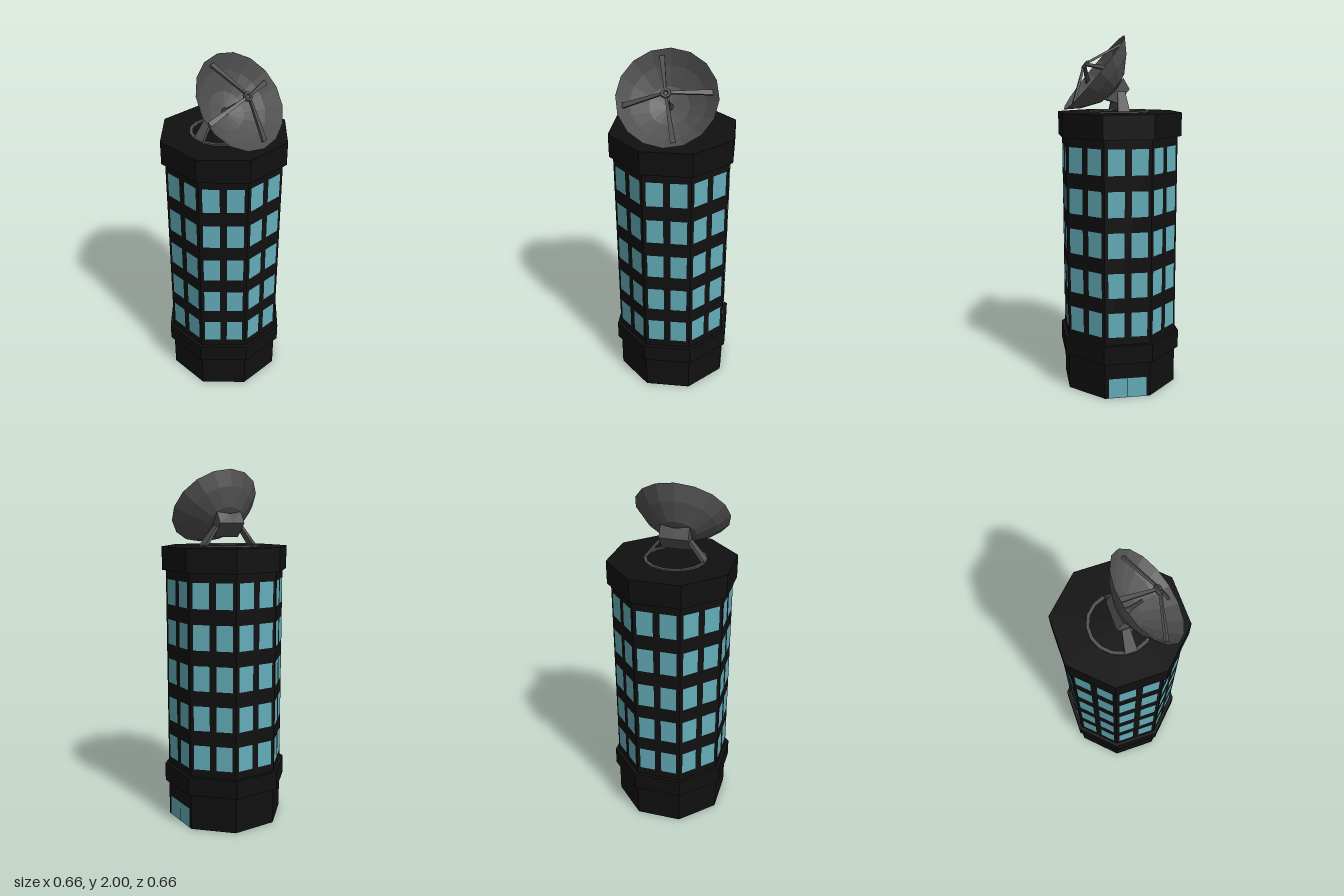
import * as THREE from 'three';

const SIDES = 8;
const DISH_R = 0.264, DISH_DEPTH = 0.157;

const material = (color, side = THREE.FrontSide) =>
  new THREE.MeshStandardMaterial({ color, side, flatShading: true });
const wallMat = material(0x101010);
const glassMat = material(0x63adb9);
const metalMat = material(0x515151);
const dishMat = material(0x515151, THREE.DoubleSide);

function add(parent, name, geometry, mat, x = 0, y = 0, z = 0) {
  const mesh = new THREE.Mesh(geometry, mat);
  mesh.name = name;
  mesh.position.set(x, y, z);
  parent.add(mesh);
  return mesh;
}

// Octagonal storey with flat faces towards the axes
function storey(parent, name, apothem, y0, y1) {
  const r = apothem / Math.cos(Math.PI / SIDES);
  const geo = new THREE.CylinderGeometry(r, r, y1 - y0, SIDES, 1, false, Math.PI / SIDES);
  add(parent, name, geo, wallMat, 0, (y0 + y1) / 2, 0);
}

// Tapered bar from a to b; 'across' is the direction of its width
function bar(parent, name, a, b, across, widthA, widthB, thickness) {
  const dir = b.clone().sub(a);
  const length = dir.length();
  dir.normalize();
  const geo = new THREE.BoxGeometry(1, length, thickness);
  const p = geo.attributes.position;
  for (let i = 0; i < p.count; i++) p.setX(i, p.getX(i) * (p.getY(i) < 0 ? widthA : widthB));
  const normal = across.clone().cross(dir).normalize();
  const mesh = add(parent, name, geo, metalMat);
  mesh.quaternion.setFromRotationMatrix(
    new THREE.Matrix4().makeBasis(dir.clone().cross(normal), dir, normal));
  mesh.position.copy(a).add(b).multiplyScalar(0.5);
}

// Dish surface height below the rim plane
const bowl = r => DISH_DEPTH * ((r / DISH_R) ** 2 - 1);

function createTower() {
  const tower = new THREE.Group();
  tower.name = 'tower';
  storey(tower, 'base', 0.31, 0, 0.21);
  storey(tower, 'lowerBand', 0.33, 0.21, 0.315);
  storey(tower, 'shaft', 0.31, 0.315, 1.45);
  storey(tower, 'roofBand', 0.33, 1.45, 1.58);

  // Two windows per face on five floors
  const pane = new THREE.PlaneGeometry(0.09, 0.14);
  for (let k = 0; k < SIDES; k++) {
    const face = new THREE.Group();
    face.name = 'windowFace';
    face.rotation.y = k * Math.PI / 4;
    for (let floor = 0; floor < 5; floor++)
      for (const s of [-1, 1])
        add(face, 'window', pane, glassMat, s * 0.064, 0.43 + floor * 0.225, 0.311);
    tower.add(face);
  }

  // Double door
  for (const s of [-1, 1])
    add(tower, 'door', new THREE.PlaneGeometry(0.106, 0.115), glassMat, 0.311, 0.058, s * 0.054)
      .rotation.y = Math.PI / 2;
  return tower;
}

function createMount() {
  const mount = new THREE.Group();
  mount.name = 'mount';
  mount.position.set(-0.017, 1.58, -0.004);

  // Flat turning ring on the roof
  const k = Math.cos(Math.PI / 16), inner = 0.151 / k, outer = 0.169 / k;
  const profile = [[inner, 0], [outer, 0], [outer, 0.008], [inner, 0.008], [inner, 0]]
    .map(([x, y]) => new THREE.Vector2(x, y));
  add(mount, 'ring', new THREE.LatheGeometry(profile, 16, Math.PI / 16), dishMat);

  // Legs leaning in to the hub
  for (const s of [-1, 1])
    bar(mount, 'leg', new THREE.Vector3(s * 0.162, 0.003, 0), new THREE.Vector3(s * 0.078, 0.108, 0),
      new THREE.Vector3(0, 0, 1), 0.066, 0.042, 0.016);
  return mount;
}

// Built around the rim centre with the dish axis along local y
function createAntenna() {
  const antenna = new THREE.Group();
  antenna.name = 'antenna';
  antenna.position.set(-0.017, 1.796, 0.137);
  antenna.rotation.x = 0.874;

  const profile = [0, 0.107, 0.2, DISH_R].map(r => new THREE.Vector2(r, bowl(r)));
  add(antenna, 'dish', new THREE.LatheGeometry(profile, 16), dishMat);

  // Hub: narrows to the back, its front follows the bowl
  const hub = new THREE.BoxGeometry(0.16, 0.06, 0.15, 2, 1, 2);
  const p = hub.attributes.position;
  for (let i = 0; i < p.count; i++) {
    const x = p.getX(i), z = p.getZ(i);
    if (p.getY(i) > 0) p.setY(i, bowl(Math.hypot(x, z)) - 0.005);
    else p.setXYZ(i, x, -0.202, z * 0.68);
  }
  add(antenna, 'hub', hub, metalMat);

  // Feed horn
  const horn = [[0.021, -0.158], [0.019, -0.135], [0.012, -0.115], [0.009, -0.04], [0, -0.036]]
    .map(([x, y]) => new THREE.Vector2(x, y));
  add(antenna, 'feedHorn', new THREE.LatheGeometry(horn, 8), dishMat);

  // Receiver ring held by four struts
  const receiver = [[0.013, 0.054], [0.024, 0.05], [0.029, 0.06], [0.025, 0.071], [0.014, 0.071], [0.01, 0.062], [0, 0.062]]
    .map(([x, y]) => new THREE.Vector2(x, y));
  add(antenna, 'receiver', new THREE.LatheGeometry(receiver, 8), dishMat);
  for (let i = 0; i < 4; i++) {
    const t = i * Math.PI / 2 + Math.PI / 16, c = Math.cos(t), s = -Math.sin(t);
    bar(antenna, 'strut', new THREE.Vector3(0.23 * c, -0.025, 0.23 * s),
      new THREE.Vector3(0.022 * c, 0.06, 0.022 * s), new THREE.Vector3(-s, 0, c), 0.028, 0.013, 0.013);
  }
  return antenna;
}

export function createModel() {
  const model = new THREE.Group();
  model.name = 'antennaTower';
  model.add(createTower(), createMount(), createAntenna());
  return model;
}
